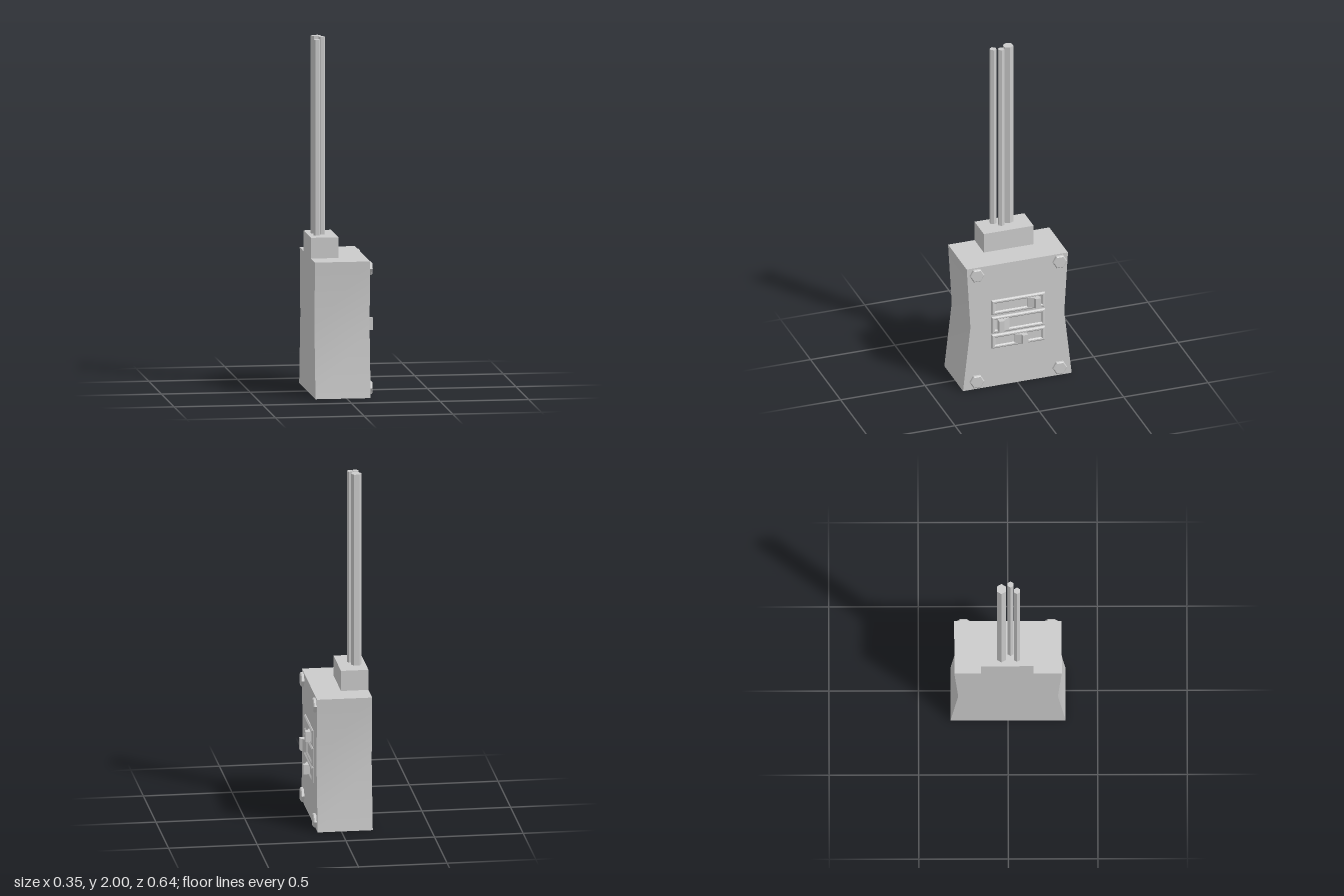
import * as THREE from 'three';
import { toCreasedNormals } from 'three/addons/utils/BufferGeometryUtils.js';

const BACK = -0.177, FACE = 0.134;

export function createModel() {
  const group = new THREE.Group();
  const material = new THREE.MeshStandardMaterial({ color: 0xcccccc });
  const flat = new THREE.MeshStandardMaterial({ color: 0xcccccc, flatShading: true });

  const add = (name, geometry, x = 0, y = 0, z = 0, mat = flat) => {
    const mesh = new THREE.Mesh(geometry, mat);
    mesh.name = name;
    mesh.position.set(x, y, z);
    group.add(mesh);
    return mesh;
  };
  const outline = (points, Type = THREE.Shape) => new Type(points.map(([a, b]) => new THREE.Vector2(a, b)));
  const rect = (w, h) => [[-w / 2, -h / 2], [w / 2, -h / 2], [w / 2, h / 2], [-w / 2, h / 2]];

  // Waisted housing, outline extruded along x
  const body = new THREE.ExtrudeGeometry(
    outline([[-0.322, 0], [0.322, 0], [0.278, 0.395], [0.3, 0.768], [-0.3, 0.768], [-0.278, 0.395]]),
    { depth: FACE - BACK, bevelEnabled: false }
  ).rotateY(Math.PI / 2);
  add('housing', toCreasedNormals(body, 0.5), BACK, 0, 0, material);

  // Cable entry block
  add('cableBlock', new THREE.BoxGeometry(0.155, 0.125, 0.295), -0.0995, 0.8225, -0.0045);

  // Hexagonal cables: x, z, radius, top
  [[-0.131, 0.05, 0.0195, 1.99], [-0.097, 0.014, 0.0185, 2], [-0.124, -0.037, 0.03, 2]].forEach(([x, z, r, top], i) => {
    const height = top - 0.87;
    const cable = new THREE.CylinderGeometry(r, r, height, 6).rotateY(Math.PI / 6);
    add('cable' + (i + 1), cable, x, 0.87 + height / 2, z);
  });

  // Hexagonal corner bolts with chamfered heads
  const bolt = new THREE.LatheGeometry(
    [[0, 0], [0.042, 0], [0.042, 0.013], [0.036, 0.018], [0, 0.018]].map(([a, b]) => new THREE.Vector2(a, b)), 6
  ).rotateZ(-Math.PI / 2);
  for (const y of [0.05, 0.723]) {
    for (const z of [-0.249, 0.242]) add('bolt', bolt, FACE, y, z);
  }

  // Slide switches: centre y, frame height, tip z, slope direction
  const rows = [[0.5, 0.094, -0.11, 1], [0.389, 0.106, 0.105, -1], [0.285, 0.09, -0.035, 1]];
  for (const [y, h, tip, dir] of rows) {
    // Bevelled frame around the slot
    const frame = outline(rect(0.304, h - 0.016));
    frame.holes.push(outline(rect(0.286, h - 0.032), THREE.Path));
    const frameGeo = new THREE.ExtrudeGeometry(frame, {
      depth: 0.004, bevelThickness: 0.007, bevelSize: 0.007, bevelSegments: 1
    }).rotateY(Math.PI / 2);
    add('switchFrame', frameGeo, FACE, y, -0.004);

    // Raised slot floor
    add('slotFloor', new THREE.BoxGeometry(0.008, h - 0.036, 0.284), FACE, y, -0.004);

    // Slider knob with one ramped side
    const side = [[0.13, -0.015], [0.175, -0.015], [0.175, 0.015], [0.161, 0.02], [0.145, 0.054], [0.13, 0.054]];
    let points = side.map(([x, z]) => [x, -(tip + dir * z)]);
    if (dir > 0) points = points.reverse();
    const knobHeight = h - 0.036;
    const knob = new THREE.ExtrudeGeometry(outline(points), { depth: knobHeight, bevelEnabled: false }).rotateX(-Math.PI / 2);
    add('switchKnob', knob, 0, y - knobHeight / 2, 0);
  }
  return group;
}
